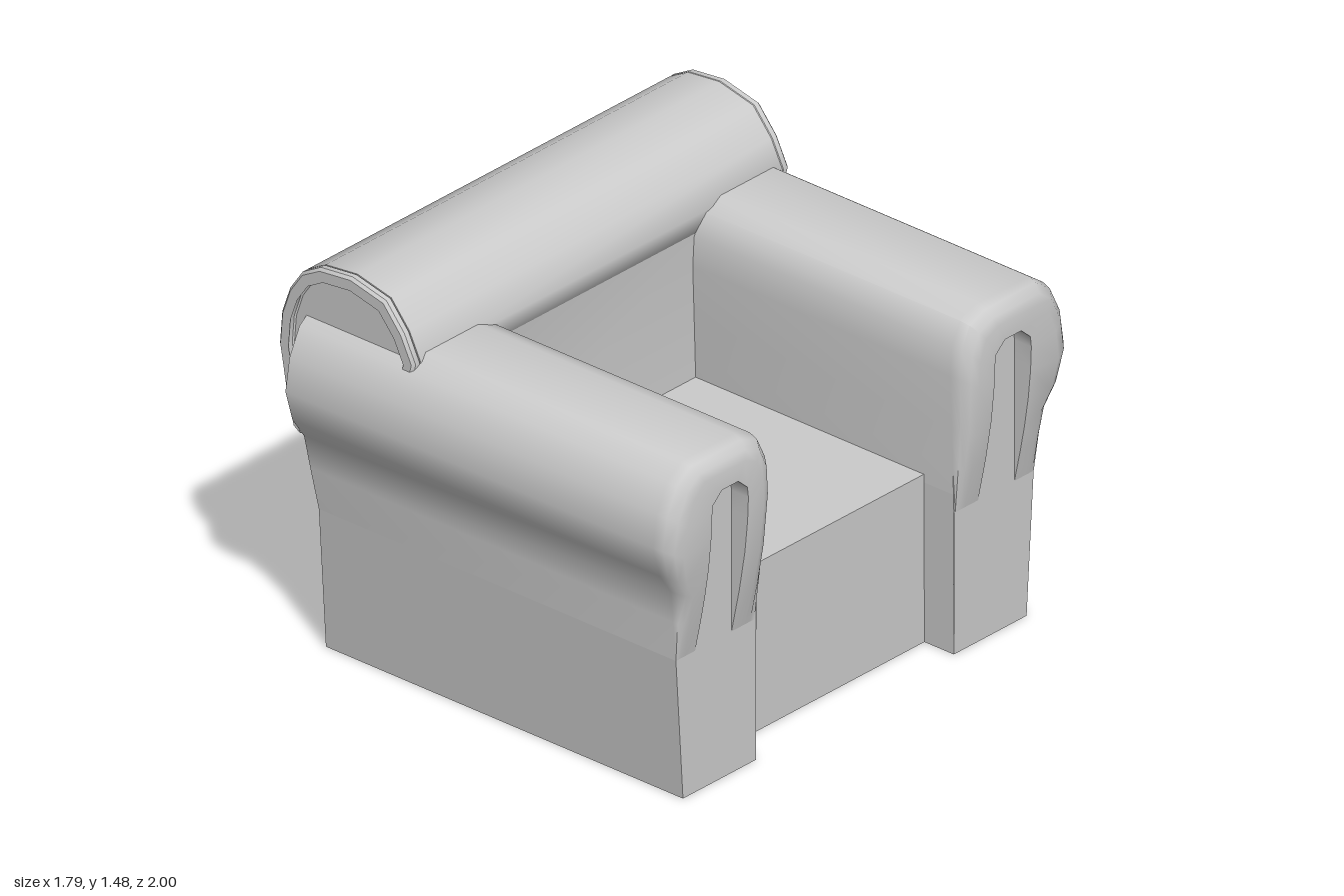
import * as THREE from 'three';
import { toCreasedNormals } from 'three/addons/utils/BufferGeometryUtils.js';

const material = new THREE.MeshStandardMaterial({ color: 0xcccccc, side: THREE.DoubleSide });

function part(name, geometry, crease = 0.75) {
  const mesh = new THREE.Mesh(toCreasedNormals(geometry, crease), material);
  mesh.name = name;
  return mesh;
}

// Skin a list of rows, each an equal-length list of [x, y, z]
function skin(rows) {
  const n = rows[0].length, index = [];
  for (let i = 0; i < rows.length - 1; i++) {
    for (let j = 0; j < n - 1; j++) {
      const a = i * n + j, b = a + n;
      index.push(a, b, b + 1, a, b + 1, a + 1);
    }
  }
  const geometry = new THREE.BufferGeometry();
  geometry.setAttribute('position', new THREE.Float32BufferAttribute(rows.flat(2), 3));
  geometry.setIndex(index);
  geometry.computeVertexNormals();
  return geometry;
}

const shapeOf = (points) => new THREE.Shape(points.map(([a, b]) => new THREE.Vector2(a, b)));

// Flat [z, y] polygon standing at a given x, facing +x
function panel(points, x) {
  const geometry = new THREE.ShapeGeometry(shapeOf(points.map(([z, y]) => [-z, y])));
  geometry.rotateY(Math.PI / 2);
  geometry.translate(x, 0, 0);
  return geometry;
}

// Arm section [z, y], from the outer side over the top to the inner side
const ARM = [
  [0.885, 0.53], [0.9, 0.68], [0.91, 0.8], [0.965, 0.88], [1, 1], [0.98, 1.12], [0.93, 1.22], [0.86, 1.27],
  [0.6, 1.27], [0.52, 1.24], [0.48, 1.16], [0.473, 1.05], [0.48, 0.85], [0.485, 0.7], [0.49, 0.53],
];
// Arched recess in the arm front, matched point for point
const RECESS = [
  [0.79, 0.53], [0.79, 0.65], [0.79, 0.75], [0.79, 0.86], [0.79, 0.97], [0.79, 1.06], [0.785, 1.1], [0.74, 1.14],
  [0.66, 1.14], [0.615, 1.1], [0.61, 1.06], [0.61, 0.97], [0.61, 0.85], [0.61, 0.7], [0.61, 0.53],
];
const FRONT = 0.82;
const backX = (y) => -0.76 - 0.045 * THREE.MathUtils.clamp((y - 0.53) / 0.28, 0, 1);
const bulge = (y) => 0.075 * Math.sin(THREE.MathUtils.clamp((y - 0.53) / 0.55, 0, 1) * Math.PI / 2);

function createArm(name) {
  const arm = new THREE.Group();
  arm.name = name;

  // Padded roll: straight run, rounded front lip, then into the recess
  const rows = [ARM.map(([z, y]) => [backX(y), y, z]), ARM.map(([z, y]) => [FRONT, y, z])];
  for (const t of [0.33, 0.67, 1]) {
    const c = 1 - Math.cos(t * Math.PI / 2), out = Math.sin(t * Math.PI / 2);
    rows.push(ARM.map(([z, y]) => [
      FRONT + bulge(y) * out, 0.53 + (y - 0.53) * (1 - 0.09 * c), 0.71 + (z - 0.71) * (1 - 0.25 * c),
    ]));
  }
  rows.push(RECESS.map(([z, y]) => [FRONT + bulge(y), y, z]));
  rows.push(RECESS.map(([z, y]) => [FRONT, y, z]));
  arm.add(part('armPadding', skin(rows)));

  // Plain lower walls
  arm.add(part('armOuterWall', skin([-0.76, FRONT].map((x) => [[x, 0, 0.85], [x, 0.53, 0.885]]))));
  arm.add(part('armInnerWall', skin([FRONT, 0.69].map((x) => [[x, 0, 0.49], [x, 0.6, 0.487]]))));

  // Front panel reaches up behind the recess
  arm.add(part('armFrontPanel', panel([[0.85, 0], [0.885, 0.53], ...RECESS, [0.49, 0.53], [0.49, 0]], FRONT)));
  arm.add(part('armBackCap', panel(ARM.slice(2, 13), backX(1))));
  return arm;
}

// Backrest roll outline [x, y]
const ROLL = [
  [-0.81, 0.81], [-0.84, 0.83], [-0.87, 0.95], [-0.9, 1.12], [-0.89, 1.24], [-0.855, 1.34], [-0.8, 1.42],
  [-0.72, 1.465], [-0.58, 1.48], [-0.43, 1.445], [-0.35, 1.35], [-0.3, 1.25], [-0.32, 1.17],
];

function createBackrest() {
  const backrest = new THREE.Group();
  backrest.name = 'backrest';
  const half = 0.895;
  const roll = new THREE.ExtrudeGeometry(shapeOf(ROLL), { depth: 2 * half, bevelEnabled: false });
  roll.translate(0, 0, -half);
  backrest.add(part('backRoll', roll));

  // Raised piping around each end of the roll
  const ring = shapeOf(ROLL);
  ring.holes.push(shapeOf(ROLL.map(([x, y]) => [-0.6 + (x + 0.6) * 0.88, 1.15 + (y - 1.15) * 0.88])));
  for (const side of [1, -1]) {
    const piping = new THREE.ExtrudeGeometry(ring, {
      depth: 0.02, bevelThickness: 0.01, bevelSize: 0.01, bevelOffset: -0.01, bevelSegments: 1,
    });
    piping.translate(0, 0, side * 0.91 - 0.01);
    backrest.add(part('rollPiping', piping));
  }

  backrest.add(part('backCushion', skin([0.49, -0.49].map((z) => [[-0.32, 0.63, z], [-0.32, 1.17, z], [-0.305, 1.25, z]]))));
  backrest.add(part('backWall', skin([-1, 1].map((s) => [
    [-0.76, 0, s * 0.85], [-0.76, 0.53, s * 0.885], [-0.805, 0.82, s * 0.91],
  ]))));
  return backrest;
}

export function createModel() {
  const chair = new THREE.Group();
  chair.name = 'armchair';

  const nearArm = createArm('nearArm');
  const farArm = createArm('farArm');
  farArm.scale.z = -1;

  // Seat top and front, open underneath
  const seat = part('seat', skin([0.49, -0.49].map((z) => [[0.69, 0, z], [0.69, 0.63, z], [-0.32, 0.63, z]])));

  chair.add(nearArm, farArm, createBackrest(), seat);
  return chair;
}
